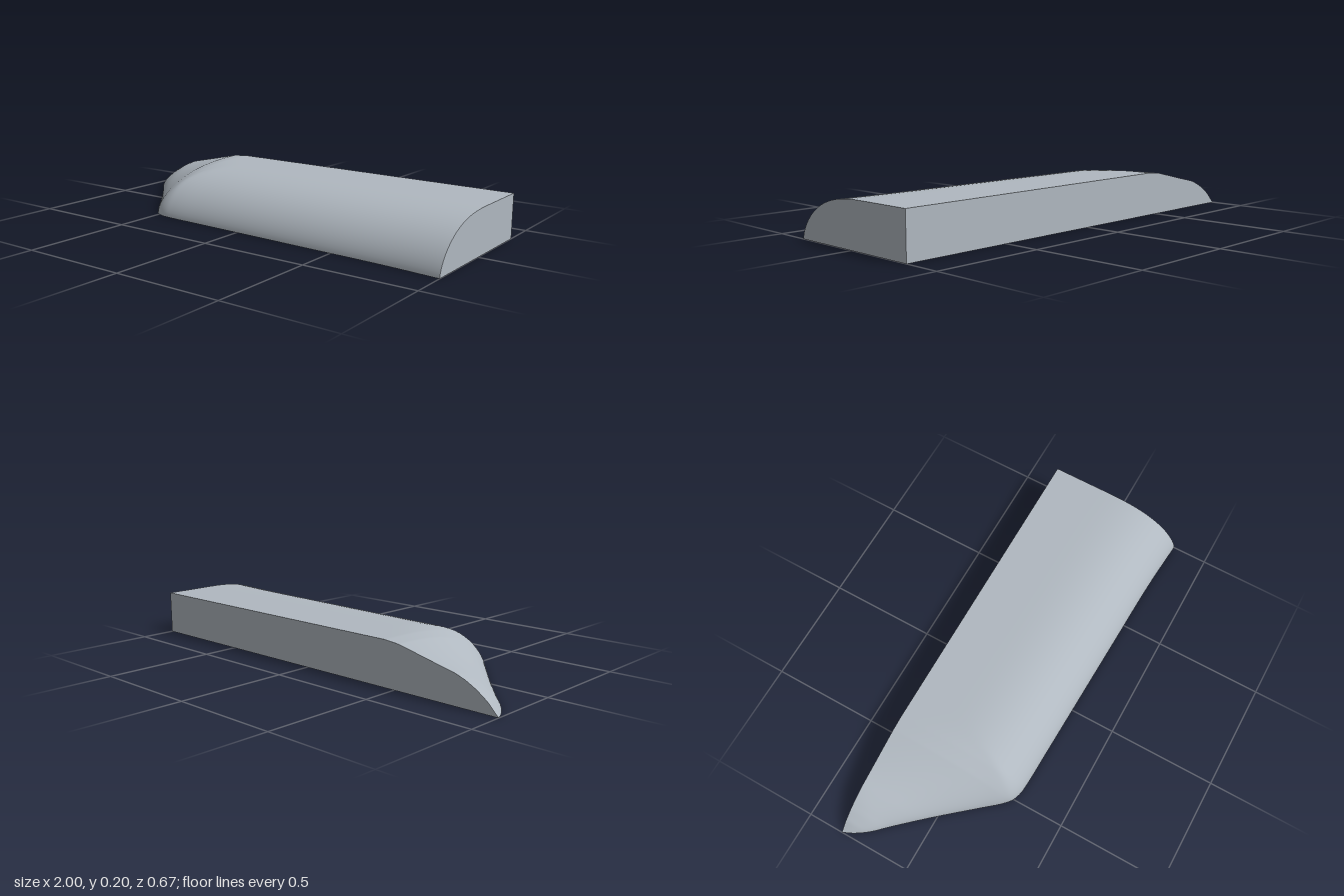
import * as THREE from 'three';

const BACK = -0.335;

// Plan outline of the rounded rim: [x, z] from the pointed tip to the flat end
const RIM = [
  [-1, BACK], [-0.98, -0.29], [-0.94, -0.23], [-0.87, -0.155], [-0.74, -0.01],
  [-0.6, 0.155], [-0.54, 0.225], [-0.505, 0.255], [-0.46, 0.272], [-0.4, 0.278],
  [-0.25, 0.283], [0, 0.291], [0.4, 0.304], [0.75, 0.316], [1, 0.334],
];

// Height of the top along the flat back: [x, y]
const CREST = [
  [-1, 0], [-0.95, 0.05], [-0.9, 0.085], [-0.85, 0.111], [-0.8, 0.13], [-0.7, 0.152],
  [-0.6, 0.175], [-0.52, 0.193], [-0.45, 0.2], [1, 0.2],
];

function crestHeight(x) {
  const i = Math.max(1, CREST.findIndex((p) => p[0] >= x - 1e-9));
  const [x0, y0] = CREST[i - 1], [x1, y1] = CREST[i];
  return y0 + (y1 - y0) * THREE.MathUtils.clamp((x - x0) / (x1 - x0), 0, 1);
}

// Rounded shoulder: height as a function of distance from the rim
function shoulder(d) {
  const t = Math.max(0, 1 - d / 0.425);
  return 0.2 * Math.pow(1 - Math.pow(t, 2.9), 0.64);
}

// Surface through equal-length rows of points; it faces along-row x across-rows
function loft(rows) {
  const n = rows[0].length, index = [];
  for (let r = 0; r < rows.length - 1; r++) {
    for (let k = 0; k < n - 1; k++) {
      const a = r * n + k, b = a + n;
      index.push(a, a + 1, b, a + 1, b + 1, b);
    }
  }
  const geometry = new THREE.BufferGeometry().setFromPoints(rows.flat());
  geometry.setIndex(index);
  geometry.computeVertexNormals();
  return geometry;
}

export function createModel() {
  const group = new THREE.Group();
  group.name = 'roundedWedge';
  const grey = new THREE.MeshStandardMaterial({ color: 0xb0b8c0 });
  grey.name = 'paleGrey';

  const curve = new THREE.CatmullRomCurve3(RIM.map(([x, z]) => new THREE.Vector3(x, 0, z)));
  const rim = curve.getPoints((RIM.length - 1) * 6);

  const line = new THREE.Line3(), near = new THREE.Vector3();
  const rimDistance = (p) => {
    let best = Infinity;
    for (let i = 1; i < rim.length; i++) {
      line.set(rim[i - 1], rim[i]).closestPointToPoint(p, true, near);
      best = Math.min(best, near.distanceTo(p));
    }
    return best;
  };

  // Top skin: rows run along the length, from the rim to the back
  const steps = 28;
  const heightScale = rim.map((p) => {
    const full = shoulder(rimDistance(new THREE.Vector3(p.x, 0, BACK)));
    return full > 1e-6 ? crestHeight(p.x) / full : 0;
  });
  const rows = [];
  for (let j = 0; j <= steps; j++) {
    const u = Math.pow(j / steps, 1.8);
    rows.push(rim.map((p, i) => {
      const q = new THREE.Vector3(p.x, 0, THREE.MathUtils.lerp(p.z, BACK, u));
      q.y = j === 0 ? 0 : shoulder(rimDistance(q)) * heightScale[i];
      return q;
    }));
  }

  const flat = (p) => new THREE.Vector3(p.x, 0, p.z);
  const crest = rows[steps];
  const section = rows.map((row) => row[row.length - 1]);

  const add = (name, geometry) => {
    const mesh = new THREE.Mesh(geometry, grey);
    mesh.name = name;
    group.add(mesh);
  };
  add('roundedTop', loft(rows));
  add('underside', loft([crest.map(flat), rim]));
  add('backFace', loft([crest, crest.map(flat)]));
  add('endFace', loft([section.map(flat), section]));
  return group;
}
